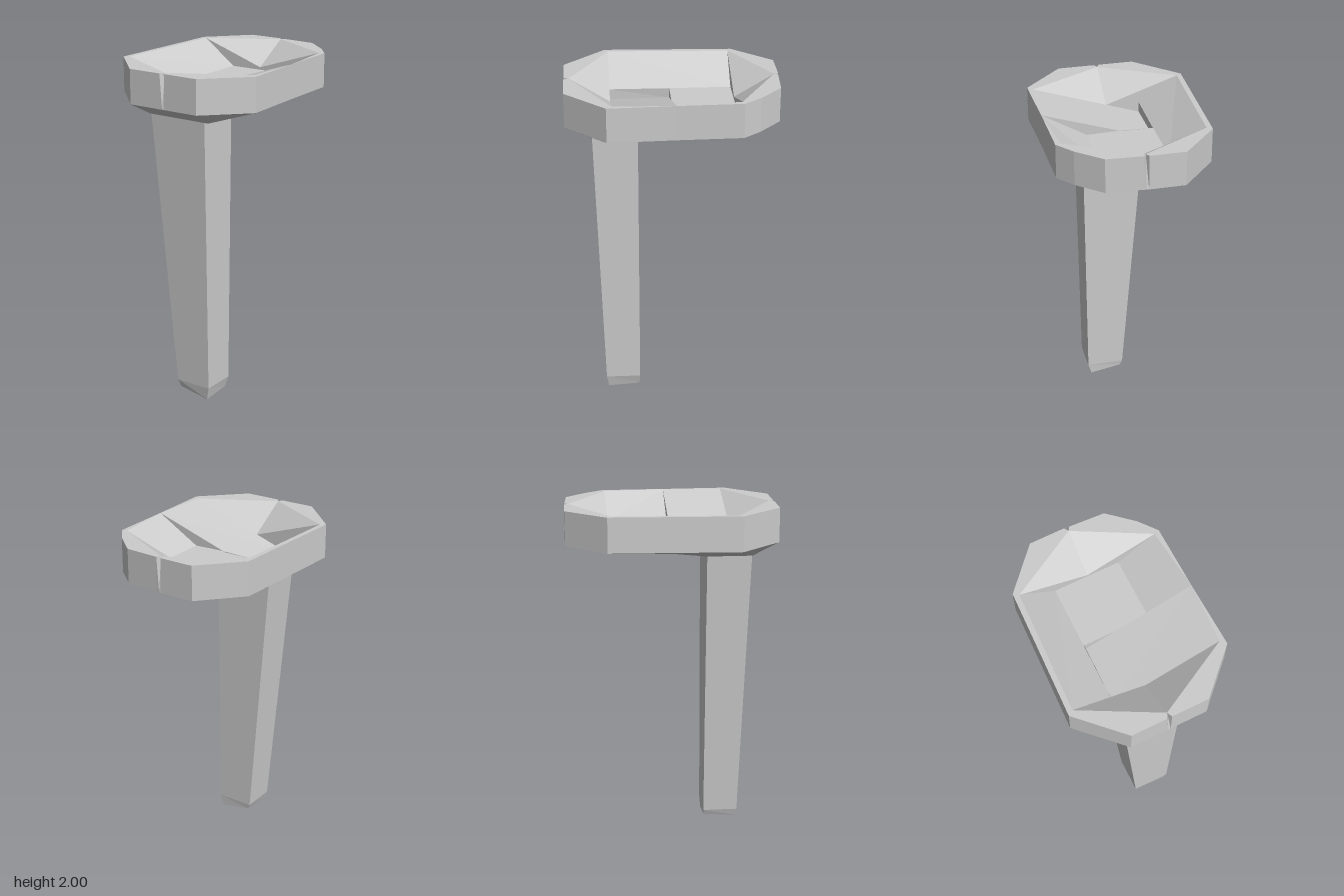
import * as THREE from 'three';

const material = new THREE.MeshStandardMaterial({ color: 0xcccccc, flatShading: true, side: THREE.DoubleSide });

// Faceted mesh from polygons; each is fanned from its first corner.
function facets(name, polygons) {
  const pos = [];
  for (const p of polygons)
    for (let i = 1; i < p.length - 1; i++) pos.push(...p[0], ...p[i], ...p[i + 1]);
  const geo = new THREE.BufferGeometry();
  geo.setAttribute('position', new THREE.Float32BufferAttribute(pos, 3));
  geo.computeVertexNormals();
  const mesh = new THREE.Mesh(geo, material);
  mesh.name = name;
  return mesh;
}

// Quads joining two closed rings, the upper one first.
const bridge = (top, bottom) => top.map((t, i) => {
  const j = (i + 1) % top.length;
  return [t, bottom[i], bottom[j], top[j]];
});

const TOP = 2, RIM = 1.8, FLOOR = 1.85;

export function createModel() {
  const group = new THREE.Group();

  // Head outline, running from the right front corner round to the right back
  const A = [-0.46, 0.37], B = [-0.22, 0.61], C = [0.23, 0.61], D = [0.46, 0.38];
  const E = [0.44, -0.37], E2 = [0.36, -0.47], F = [0.22, -0.595], G = [-0.22, -0.61], H = [-0.43, -0.38];
  const up = ([x, z]) => [x, TOP, z];
  const down = ([x, z]) => [x, RIM, z];
  const front = [0, 0.58], back = [0, -0.585];
  const fl = [-0.015, 0.61], fr = [0.015, 0.61], bl = [-0.015, -0.61], br = [0.015, -0.607];
  const sideL = [-0.445, 0], sideR = [0.447, 0];
  const outline = [A, B, fl, front, fr, C, D, sideR, E, E2, F, br, back, bl, G, H, sideL];
  // The notches taper out towards the lower edge
  const foot = outline.map(p => down(p === front ? [0, 0.61] : p === back ? [0, -0.609] : p));
  group.add(facets('rimWall', bridge(outline.map(up), foot)));

  // Flat rim at both ends
  const iA = [-0.43, 0.35], iD = [0.43, 0.35], iE = [0.41, -0.36], iH = [-0.4, -0.36];
  group.add(facets('rimTop', [
    [front, fl, B, A, iA], [front, iD, D, C, fr],
    [back, iE, E, E2, F, br], [back, bl, G, H, iH],
    [iA, A, sideL], [iA, sideL, iH], [iH, sideL, H],
    [iE, sideR, E], [iD, D, sideR],
  ].map(p => p.map(up))));

  // End slopes, folded along the middle
  const fm = [0, 1.855, 0.35], bm = [0, 1.865, -0.36];
  group.add(facets('endSlopes', [
    [up(front), up(iA), fm], [up(front), fm, up(iD)],
    [up(back), bm, up(iH)], [up(back), up(iE), bm],
  ]));

  // Sunken seat: side slope, back trough and one tilted front panel
  const a = [-0.2, FLOOR, 0.35], h = [-0.195, FLOOR, -0.36], e = [0.19, FLOOR, -0.36];
  const m = [0.19, FLOOR, 0], ml = [-0.195, FLOOR, 0];
  const pf = [-0.2, 1.79, 0.35], pb = [-0.2, 1.79, 0];
  group.add(facets('seat', [
    [up(iA), a, h, up(iH)],
    [h, ml, m, e],
    [e, m, up(sideR), up(iE)],
    [pf, up(iD), up(sideR), pb],
  ]));

  // Small steps closing the gaps between the panels
  group.add(facets('seatSteps', [
    [a, pf, pb, ml], [pf, a, up(iA), fm],
    [ml, pb, [0, 1.855, 0]], [m, [0, 1.855, 0], up(sideR)],
    [bm, up(iH), h, e, up(iE)],
  ]));

  // Shallow faceted underside
  const left = [[-0.2, 1.72, 0.46], [-0.2, 1.72, 0.2], [-0.2, 1.74, 0], [-0.2, 1.775, -0.36]];
  const right = left.map(([x, y, z]) => [-x, y, z]);
  const [L0, L1, L2, L3] = left, [R0, R1, R2, R3] = right;
  const [dA, dB, dC, dD, dE, dE2, dF, dG, dH, dL, dR] =
    [A, B, C, D, E, E2, F, G, H, sideL, sideR].map(down);
  group.add(facets('underside', [
    [L0, L1, R1, R0], [L1, L2, R2, R1], [L2, L3, R3, R2],
    [L0, R0, dC, dB], [L0, dB, dA], [R0, dD, dC],
    [L1, L0, dA], [L1, dA, dL], [L1, dL, L2], [L2, dL, dH], [L2, dH, L3],
    [R1, dD, R0], [R1, dR, dD], [R1, R2, dR], [R2, dE, dR], [R2, R3, dE],
    [L3, dH, dG], [L3, dG, dF, R3], [R3, dF, dE2, dE],
  ]));

  // Tapering leg with a chamfered, slanted tip
  const section = (x0, x1, z0, z1, y) => [[x0, y, z1], [x1, y, z1], [x1, y, z0], [x0, y, z0]];
  const head = section(-0.195, 0.175, 0.2, 0.46, 1.74);
  const ankle = section(-0.065, 0.16, 0.205, 0.412, 0.08);
  const tip = section(-0.05, 0.14, 0.21, 0.4, 0);
  [0.035, 0, 0.012, 0.045].forEach((y, i) => { tip[i][1] = y; });
  group.add(facets('leg', [...bridge(head, ankle), ...bridge(ankle, tip), [...tip].reverse()]));

  return group;
}
